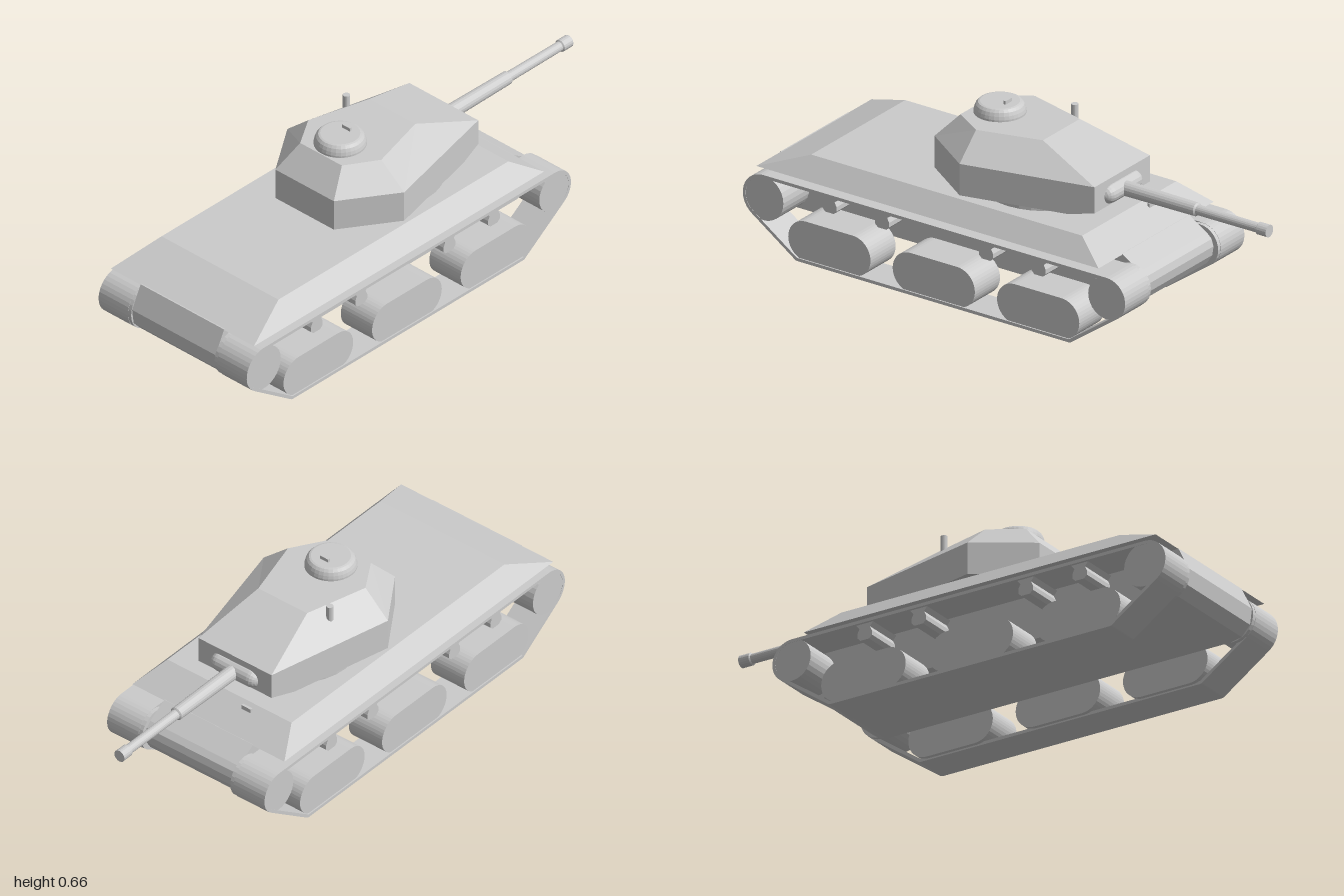
import * as THREE from 'three';

const mat = new THREE.MeshStandardMaterial({ color: 0xcccccc, flatShading: true });

function add(parent, name, geo, x = 0, y = 0, z = 0) {
  const m = new THREE.Mesh(geo, mat);
  m.name = name;
  m.position.set(x, y, z);
  parent.add(m);
  return m;
}

// Side profile given as [z, y] points, extruded across x from x0 to x1
function extrudeSide(shape, x0, x1) {
  const g = new THREE.ExtrudeGeometry(shape, { depth: x1 - x0, bevelEnabled: false, curveSegments: 10 });
  return g.rotateY(-Math.PI / 2).translate(x1, 0, 0);
}
const polygon = pts => new THREE.Shape(pts.map(p => new THREE.Vector2(p[0], p[1])));

// Solid from stacked loops of [x, y, z] (counter-clockwise seen from above), bottom loop first
function loft(loops) {
  const n = loops[0].length, pos = [];
  const tri = (a, b, c) => pos.push(...a, ...b, ...c);
  for (let k = 0; k + 1 < loops.length; k++) {
    for (let i = 0; i < n; i++) {
      const j = (i + 1) % n, [a, b, c, d] = [loops[k][i], loops[k][j], loops[k + 1][j], loops[k + 1][i]];
      tri(a, b, c);
      tri(a, c, d);
    }
  }
  const low = loops[0], top = loops[loops.length - 1];
  for (let i = 1; i + 1 < n; i++) {
    tri(low[0], low[i + 1], low[i]);
    tri(top[0], top[i], top[i + 1]);
  }
  const g = new THREE.BufferGeometry();
  g.setAttribute('position', new THREE.Float32BufferAttribute(pos, 3));
  g.computeVertexNormals();
  return g;
}

// Mirrored loop from half points [x, y, z] running back to front on the +x side
function mirrorLoop(half) {
  return [...half, ...half.slice().reverse().map(([x, y, z]) => [-x, y, z])];
}

// Track path: circles [z, y, radius] wrapped by a taut belt
const REAR = [0.912, 0.203, 0.087], NOSE = [-0.558, 0.21, 0.08];
const PATH = [REAR, NOSE, [-0.395, 0.02, 0.02], [0.765, 0.02, 0.02]];
function beltOutline(inset) {
  const n = PATH.length, pts = [];
  const normals = PATH.map((a, i) => {
    const b = PATH[(i + 1) % n], dz = b[0] - a[0], dy = b[1] - a[1];
    return Math.atan2(dy, dz) - Math.acos((a[2] - b[2]) / Math.hypot(dz, dy));
  });
  PATH.forEach(([z, y, r], i) => {
    const start = normals[(i + n - 1) % n];
    let sweep = normals[i] - start;
    while (sweep < 0) sweep += Math.PI * 2;
    const steps = r > 0.05 ? 14 : 4;
    for (let k = 0; k <= steps; k++) {
      const t = start + sweep * k / steps;
      pts.push(new THREE.Vector2(z + (r - inset) * Math.cos(t), y + (r - inset) * Math.sin(t)));
    }
  });
  return pts;
}

function makeTrack(side) {
  const track = new THREE.Group();
  track.name = side > 0 ? 'leftTrack' : 'rightTrack';
  const span = (a, b) => side > 0 ? [a, b] : [-b, -a];

  const belt = new THREE.Shape(beltOutline(0));
  belt.holes.push(new THREE.Path(beltOutline(0.012)));
  add(track, 'trackBelt', extrudeSide(belt, ...span(0.215, 0.355)));

  // End drums
  for (const [name, [z, y, r]] of [['rearDrum', REAR], ['noseDrum', NOSE]]) {
    const g = new THREE.CylinderGeometry(r - 0.001, r - 0.001, 0.154, 28).rotateZ(Math.PI / 2);
    add(track, name, g, side * 0.277, y, z);
  }

  // Rounded road wheel housings
  for (const z of [0.632, 0.185, -0.262]) {
    const s = new THREE.Shape(), h = 0.1, r = 0.076;
    s.moveTo(z - h, 0.006);
    s.lineTo(z + h, 0.006);
    s.absarc(z + h, 0.006 + r, r, -Math.PI / 2, Math.PI / 2, false);
    s.lineTo(z - h, 0.006 + 2 * r);
    s.absarc(z - h, 0.006 + r, r, Math.PI / 2, Math.PI * 1.5, false);
    add(track, 'wheelHousing', extrudeSide(s, ...span(0.2, 0.35)));
  }

  // Return roller brackets
  for (const z of [0.635, 0.41, -0.035, -0.26]) {
    const half = [[0.018, 0.216], [0.03, 0.228], [0.03, 0.245], [0.022, 0.262], [0.036, 0.279]];
    const pts = [...half.map(([a, y]) => [z + a, y]), ...half.slice().reverse().map(([a, y]) => [z - a, y])];
    add(track, 'returnRoller', extrudeSide(polygon(pts), ...span(0.2, 0.345)));
  }
  return track;
}

function makeTurret() {
  const turret = new THREE.Group();
  turret.name = 'turret';
  add(turret, 'turretRing', new THREE.CylinderGeometry(0.23, 0.23, 0.03, 32), 0, 0.388, -0.045);

  // Angular shell: floor, wall top and roof
  add(turret, 'turretShell', loft([
    mirrorLoop([[0.14, 0.395, 0.333], [0.28, 0.395, 0.125], [0.188, 0.395, -0.27], [0.165, 0.415, -0.37]]),
    mirrorLoop([[0.14, 0.515, 0.333], [0.28, 0.515, 0.125], [0.188, 0.515, -0.27], [0.165, 0.515, -0.37]]),
    mirrorLoop([[0.1, 0.605, 0.25], [0.175, 0.605, 0.13], [0.11, 0.605, -0.11], [0.11, 0.605, -0.11]]),
  ]));

  // Commander's dome with viewing block, and periscope
  const dome = [[0.093, 0], [0.093, 0.008], [0.09, 0.02], [0.085, 0.032], [0.077, 0.041], [0.07, 0.043], [0, 0.043]];
  add(turret, 'cupola', new THREE.LatheGeometry(dome.map(p => new THREE.Vector2(...p)), 32), 0, 0.604, 0.153);
  add(turret, 'cupolaSight', new THREE.BoxGeometry(0.038, 0.018, 0.01), 0, 0.651, 0.12);
  add(turret, 'periscope', new THREE.CylinderGeometry(0.013, 0.013, 0.078, 14), -0.163, 0.589, -0.05);

  // Gun mount and stepped barrel
  add(turret, 'mantlet', new THREE.CapsuleGeometry(0.036, 0.14, 5, 18).rotateZ(Math.PI / 2), 0, 0.455, -0.362);
  const barrel = [[0, 0.36], [0.028, 0.36], [0.025, 0.69], [0.019, 0.695], [0.018, 0.953],
    [0.023, 0.957], [0.023, 1], [0, 1]];
  const gun = new THREE.LatheGeometry(barrel.map(p => new THREE.Vector2(...p)), 18).rotateX(-Math.PI / 2);
  add(turret, 'gunBarrel', gun, 0, 0.455, 0);
  return turret;
}

export function createModel() {
  const tank = new THREE.Group();
  tank.name = 'tank';

  // Narrow lower hull between the tracks
  add(tank, 'lowerHull', extrudeSide(polygon([
    [0.95, 0.312], [-0.513, 0.312], [-0.59, 0.264], [-0.609, 0.246], [-0.617, 0.22], [-0.612, 0.185],
    [-0.59, 0.15], [-0.56, 0.128], [-0.53, 0.118], [0.9, 0.118], [0.95, 0.127], [0.985, 0.165], [0.993, 0.225],
  ].reverse()), -0.2, 0.2));

  // Sloped upper hull overhanging the tracks
  add(tank, 'upperHull', loft([
    mirrorLoop([[0.343, 0.31, 0.95], [0.343, 0.31, -0.515]]),
    mirrorLoop([[0.28, 0.381, 0.76], [0.28, 0.381, -0.4]]),
  ]));
  add(tank, 'driverSight', new THREE.BoxGeometry(0.042, 0.022, 0.01), -0.1, 0.367, -0.426);

  tank.add(makeTrack(1), makeTrack(-1), makeTurret());
  return tank;
}
